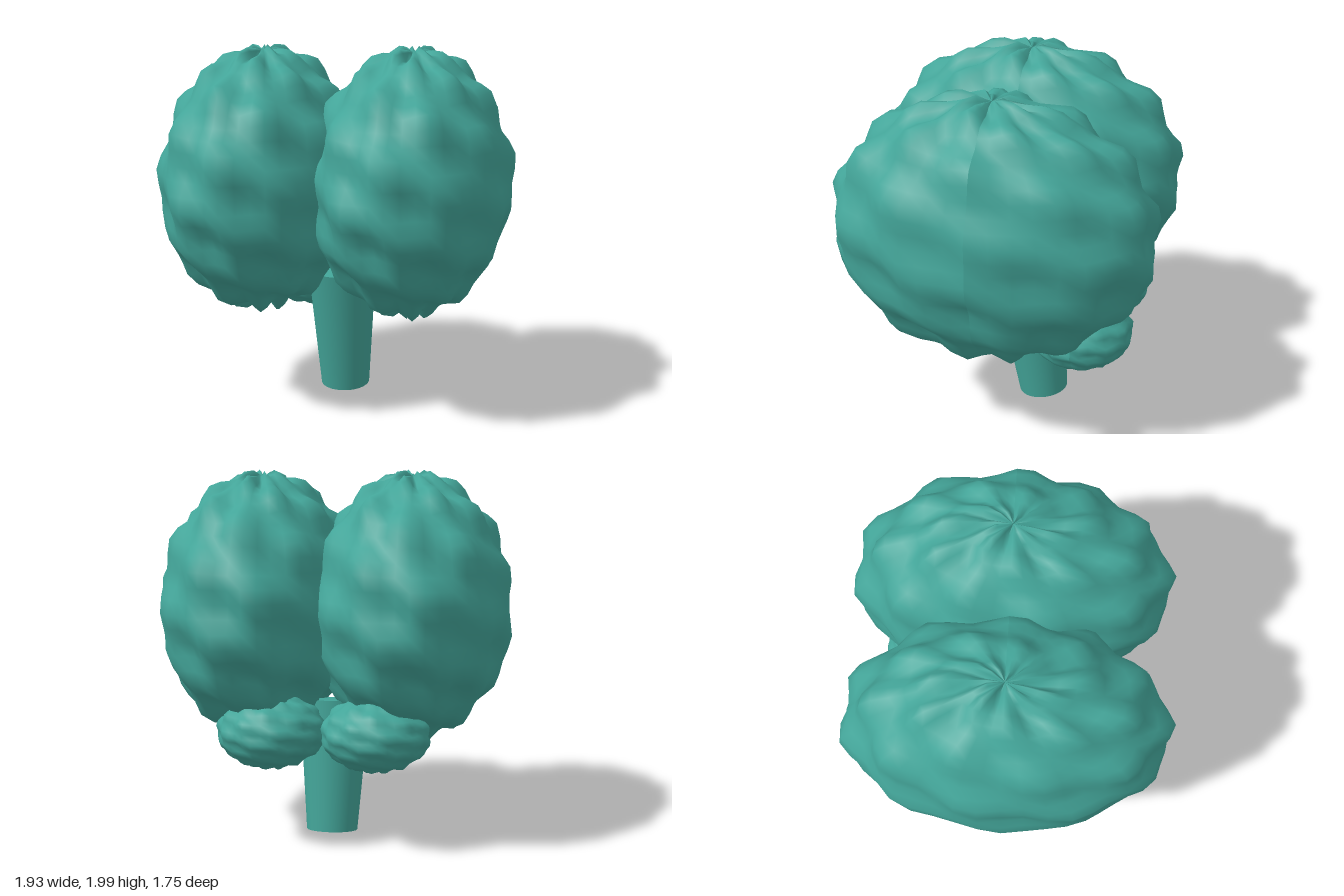
import * as THREE from 'three';

const teal = new THREE.MeshStandardMaterial({ color: 0x43a599 });
teal.name = 'teal';

// Ellipsoid with broad slanted lumps that gather into pleats at both poles
function lumpyLobe(name, rx, ry, rz, amount, cols, rows) {
  const geo = new THREE.SphereGeometry(1, cols, rows);
  geo.rotateY(Math.PI); // seam on the +x side
  const pos = geo.attributes.position;
  const v = new THREE.Vector3();
  for (let i = 0; i < pos.count; i++) {
    v.fromBufferAttribute(pos, i);
    const polar = Math.acos(THREE.MathUtils.clamp(v.y, -1, 1));
    const around = Math.atan2(v.z, v.x) - Math.PI / 2;
    const atPole = Math.sin(polar) < 1e-4;
    const wave = atPole ? -0.3 :
      0.5 * Math.cos(11 * around + 3 * (polar - Math.PI / 2)) +
      0.5 * Math.cos(14 * (polar - 1.31) + 4 * around) +
      0.35 * Math.sin(7 * around - 8 * polar);
    v.multiplyScalar(1 + amount * wave);
    pos.setXYZ(i, v.x * rx, v.y * ry, v.z * rz);
  }
  geo.computeVertexNormals();
  const mesh = new THREE.Mesh(geo, teal);
  mesh.name = name;
  return mesh;
}

export function createModel() {
  const model = new THREE.Group();
  model.name = 'brain';

  for (const [side, s] of [['left', 1], ['right', -1]]) {
    // Large upper lobe
    const hemisphere = lumpyLobe(side + 'Hemisphere', 0.535, 0.715, 0.855, 0.05, 44, 30);
    hemisphere.position.set(s * 0.42, 1.25, 0);
    model.add(hemisphere);

    // Small lobe tucked under the back
    const cerebellum = lumpyLobe(side + 'Cerebellum', 0.285, 0.195, 0.28, 0.05, 36, 24);
    cerebellum.position.set(s * 0.28, 0.62, -0.455);
    model.add(cerebellum);
  }

  // Tapered stem, leaning forward towards the top
  const length = 0.72;
  const stemGeo = new THREE.CylinderGeometry(0.195, 0.14, length, 32);
  stemGeo.translate(0, length / 2, 0);
  const stem = new THREE.Mesh(stemGeo, teal);
  stem.name = 'stem';
  stem.position.set(0, 0.018, -0.19);
  stem.rotation.x = 0.13;
  model.add(stem);

  return model;
}
